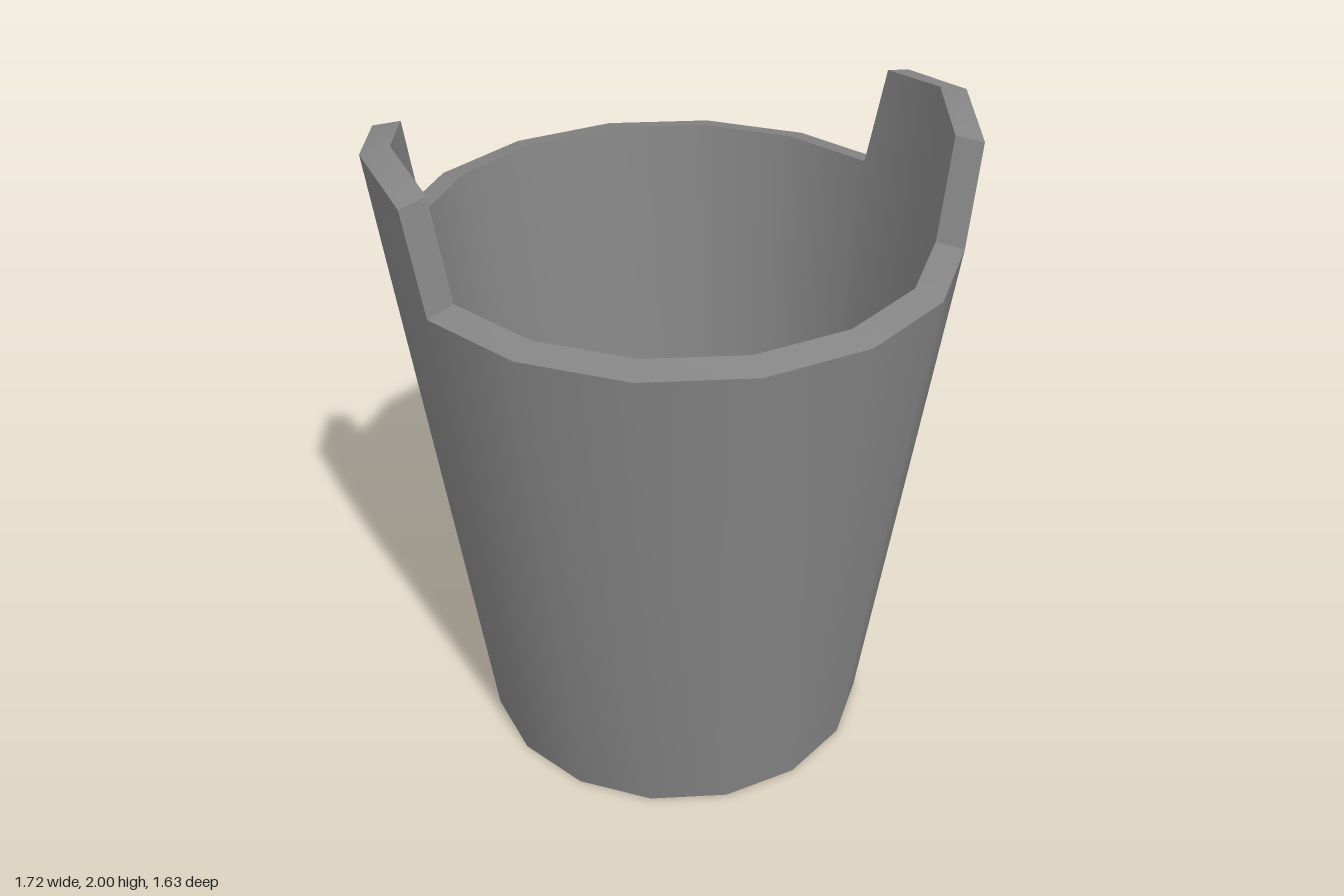
import * as THREE from 'three';
import { toCreasedNormals } from 'three/addons/utils/BufferGeometryUtils.js';

const SIDES = 16;
const STEP = (Math.PI * 2) / SIDES;
const EAR_COLUMNS = [0, SIDES / 2]; // middles of the two raised ears, at +x and -x
const EAR_CORNER = 0.85;            // ear tops narrow to this share of a step

// Wall section as [radius, height]
const SECTION = {
  outerFoot: [0.6, 0],
  outerRim: [0.815, 1.643],
  innerRim: [0.733, 1.662],
  innerFoot: [0.54, 0.058],
};
const EAR_PEAK = { outer: [0.859, 1.985], inner: [0.777, 2.0] };
const EAR_SHOULDER = { outer: [0.843, 1.946], inner: [0.762, 1.962] };

const polar = ([radius, y], turn) =>
  [radius * Math.cos(turn * STEP), y, radius * Math.sin(turn * STEP)];

// Section at one column; offset is its place in an ear (-1, 0, 1), or null on the plain wall
function column(index, offset) {
  const k = (index + SIDES) % SIDES;
  const s = SECTION;
  const points = [polar(s.outerFoot, k), polar(s.outerRim, k)];
  if (offset !== null) {
    const top = offset === 0 ? EAR_PEAK : EAR_SHOULDER;
    const turn = index - offset + offset * EAR_CORNER;
    points.push(polar(top.outer, turn), polar(top.inner, turn));
  }
  points.push(polar(s.innerRim, k), polar(s.innerFoot, k));
  return points;
}

function wallGeometry() {
  const positions = [];
  const quad = (a, b, c, d) => positions.push(...a, ...b, ...c, ...a, ...c, ...d);
  const skin = (a, b) => {
    for (let i = 0; i < a.length - 1; i++) quad(a[i], a[i + 1], b[i + 1], b[i]);
  };

  for (let k = 0; k < SIDES; k++) {
    const startsEar = EAR_COLUMNS.includes((k + 1) % SIDES);
    const endsEar = EAR_COLUMNS.includes(k);
    if (startsEar) {
      // rising half of an ear and its end face
      const a = column(k, -1);
      skin(a, column(k + 1, 0));
      quad(a[3], a[2], a[1], a[4]);
    } else if (endsEar) {
      // falling half of an ear and its end face
      const b = column(k + 1, 1);
      skin(column(k, 0), b);
      quad(b[4], b[1], b[2], b[3]);
    } else {
      skin(column(k, null), column(k + 1, null));
    }
  }

  const geometry = new THREE.BufferGeometry();
  geometry.setAttribute('position', new THREE.Float32BufferAttribute(positions, 3));
  return toCreasedNormals(geometry, 0.6);
}

export function createModel() {
  const group = new THREE.Group();
  group.name = 'bucket';
  const material = new THREE.MeshStandardMaterial({ color: 0x858585 });

  const add = (name, geometry) => {
    const mesh = new THREE.Mesh(geometry, material);
    mesh.name = name;
    group.add(mesh);
    return mesh;
  };

  // Tapered wall with rim and two ears
  add('wallWithEars', wallGeometry());

  // Underside, and the floor inside
  add('underside', new THREE.CircleGeometry(SECTION.outerFoot[0], SIDES).rotateX(Math.PI / 2));
  add('insideFloor', new THREE.CircleGeometry(SECTION.innerFoot[0], SIDES).rotateX(-Math.PI / 2))
    .position.y = SECTION.innerFoot[1];

  return group;
}
